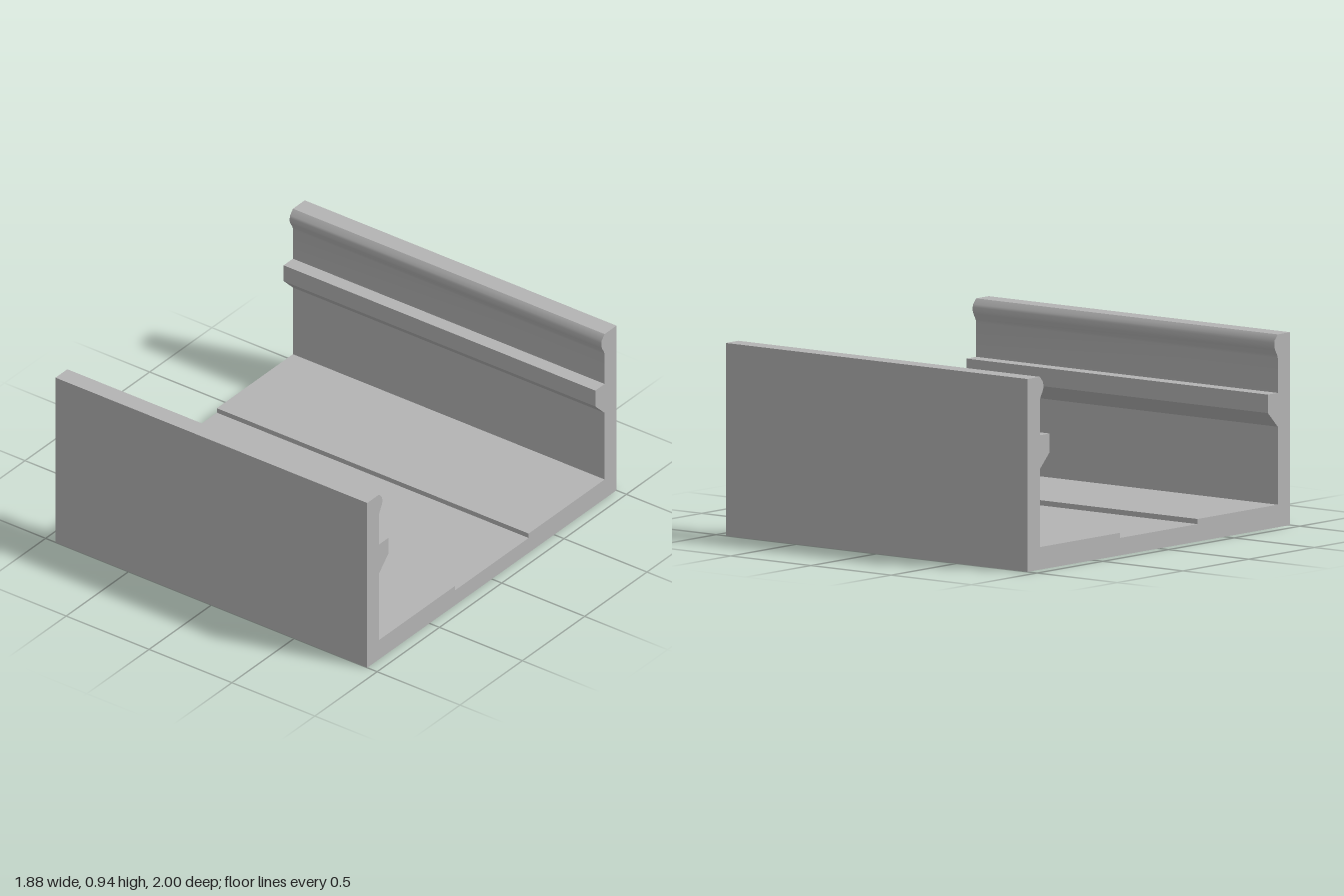
import * as THREE from 'three';
import { toCreasedNormals } from 'three/addons/utils/BufferGeometryUtils.js';

const HALF_LENGTH = 0.94;

// Half of the channel's section as [distance from centre, height],
// from the floor groove, up the inner wall, to the outer bottom edge.
const halfSection = [
  [0.295, 0.085], [0.295, 0.11], [0.905, 0.11],               // groove step and floor
  [0.905, 0.49], [0.83, 0.565], [0.83, 0.655], [0.905, 0.655], // ledge
  [0.905, 0.825], [0.901, 0.838], [0.884, 0.868],              // hollow under the lip
  [0.879, 0.882], [0.879, 0.9], [0.882, 0.914], [0.905, 0.94], // rounded lip
  [1, 0.94], [1, 0],                                          // outer wall
];

export function createModel() {
  const group = new THREE.Group();
  group.name = 'channelProfile';

  const material = new THREE.MeshStandardMaterial({ color: 0xb4b4b4 });
  material.name = 'grey';

  // Full symmetric outline
  const mirrored = halfSection.map(([z, y]) => [-z, y]).reverse();
  const outline = [...halfSection, ...mirrored].map(([z, y]) => new THREE.Vector2(z, y));

  // Extrude along the length, then turn the length onto x
  let geometry = new THREE.ExtrudeGeometry(new THREE.Shape(outline), {
    depth: 2 * HALF_LENGTH,
    bevelEnabled: false,
  });
  geometry.translate(0, 0, -HALF_LENGTH);
  geometry.rotateY(Math.PI / 2);
  geometry = toCreasedNormals(geometry, THREE.MathUtils.degToRad(30));

  const channel = new THREE.Mesh(geometry, material);
  channel.name = 'channel';
  group.add(channel);
  return group;
}
